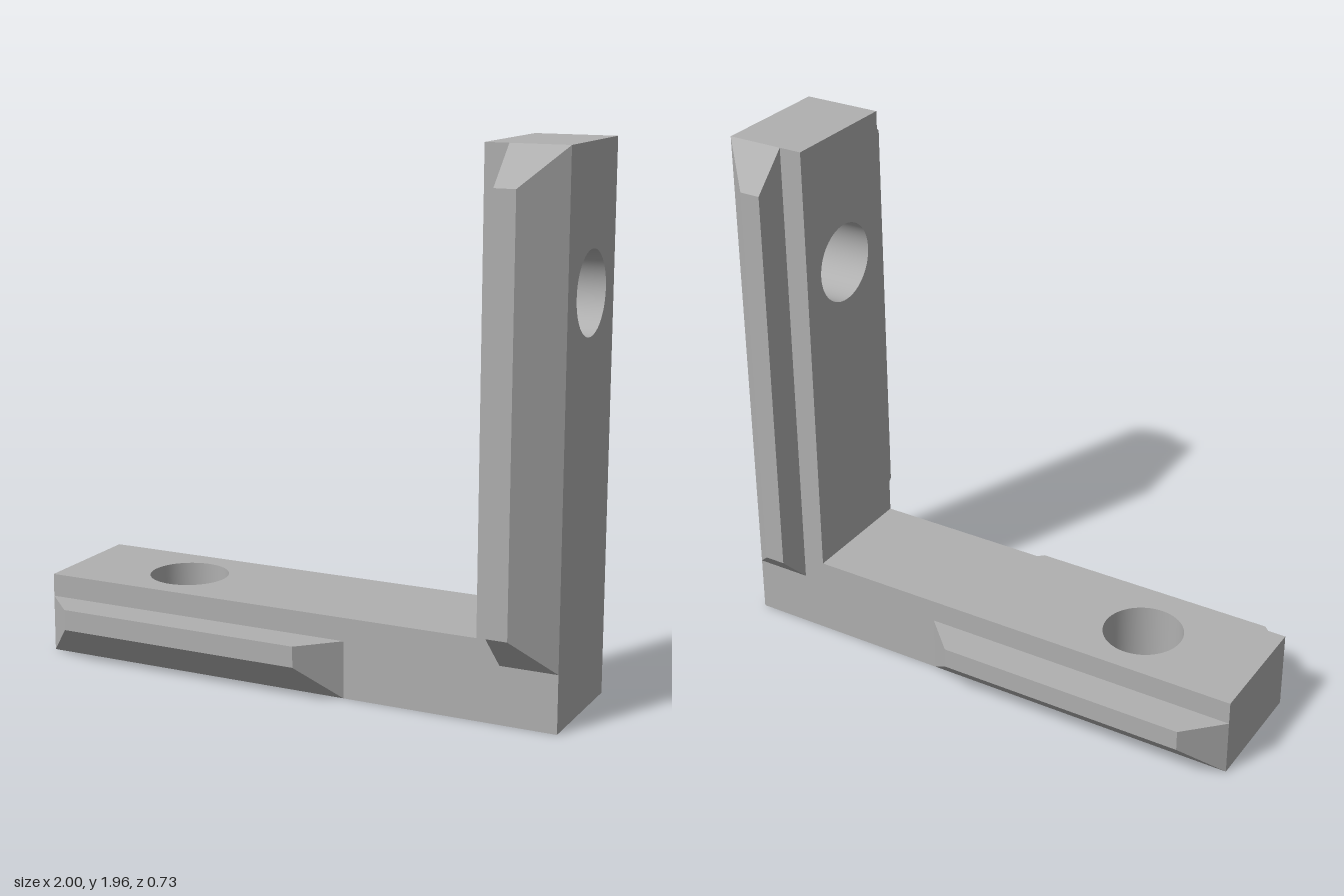
import * as THREE from 'three';
import { toCreasedNormals } from 'three/addons/utils/BufferGeometryUtils.js';

const HALF_WIDTH = 0.23, THICKNESS = 0.295, HOLE_RADIUS = 0.147;
const FLANGE_HEIGHT = 0.21, CHAMFER = 0.133;

// Bar along x from start to end, outer face at y = 0, with a round screw hole
function barGeometry(start, end, holeX) {
  const shape = new THREE.Shape([
    [start, -HALF_WIDTH], [end, -HALF_WIDTH], [end, HALF_WIDTH], [start, HALF_WIDTH],
  ].map(([x, y]) => new THREE.Vector2(x, y)));
  shape.holes.push(new THREE.Path().absarc(holeX, 0, HOLE_RADIUS, 0, Math.PI * 2, true));
  const geometry = new THREE.ExtrudeGeometry(shape, { depth: THICKNESS, bevelEnabled: false, curveSegments: 32 });
  geometry.rotateX(-Math.PI / 2);
  return toCreasedNormals(geometry, 0.5);
}

// Side flange chamfered on the outer edge and both ends, flat on the inner edge
function flangeGeometry(start, end, side) {
  const c = CHAMFER, h = FLANGE_HEIGHT;
  const section = (a, b, low, z) => [[a, low, z], [b, low, z], [b, h, z], [a, h, z]];
  const root = section(start, end, 0, side * HALF_WIDTH);
  const rim = section(start + c, end - c, c, side * (HALF_WIDTH + c));
  const positions = [];
  const quad = (p, q, r, s) => {
    const corners = side > 0 ? [p, q, r, p, r, s] : [p, r, q, p, s, r];
    positions.push(...corners.flat());
  };
  for (let i = 0; i < 4; i++) {
    const j = (i + 1) % 4;
    quad(root[i], root[j], rim[j], rim[i]);
  }
  quad(...rim);
  const geometry = new THREE.BufferGeometry();
  geometry.setAttribute('position', new THREE.Float32BufferAttribute(positions, 3));
  geometry.computeVertexNormals();
  return geometry;
}

// One arm: drilled bar with a mirrored pair of flanges
function makeArm(name, bar, holeX, flange, material) {
  const arm = new THREE.Group();
  arm.name = name;
  const add = (geometry, partName) => {
    const mesh = new THREE.Mesh(geometry, material);
    mesh.name = partName;
    arm.add(mesh);
  };
  add(barGeometry(...bar, holeX), name + 'Bar');
  add(flangeGeometry(...flange, 1), name + 'FrontFlange');
  add(flangeGeometry(...flange, -1), name + 'BackFlange');
  return arm;
}

export function createModel() {
  const model = new THREE.Group();
  model.name = 'cornerBracket';
  const steel = new THREE.MeshStandardMaterial({ color: 0xb0b0b0 });
  steel.name = 'grey steel';

  const base = makeArm('baseArm', [-1, 1], -0.545, [-1, 0.207], steel);

  // Upright arm stands on the base, its outer face at x = 1
  const upright = makeArm('uprightArm', [THICKNESS, 1.96], 1.46, [0.21, 1.96], steel);
  upright.rotation.z = Math.PI / 2;
  upright.position.x = 1;

  model.add(base, upright);
  return model;
}
